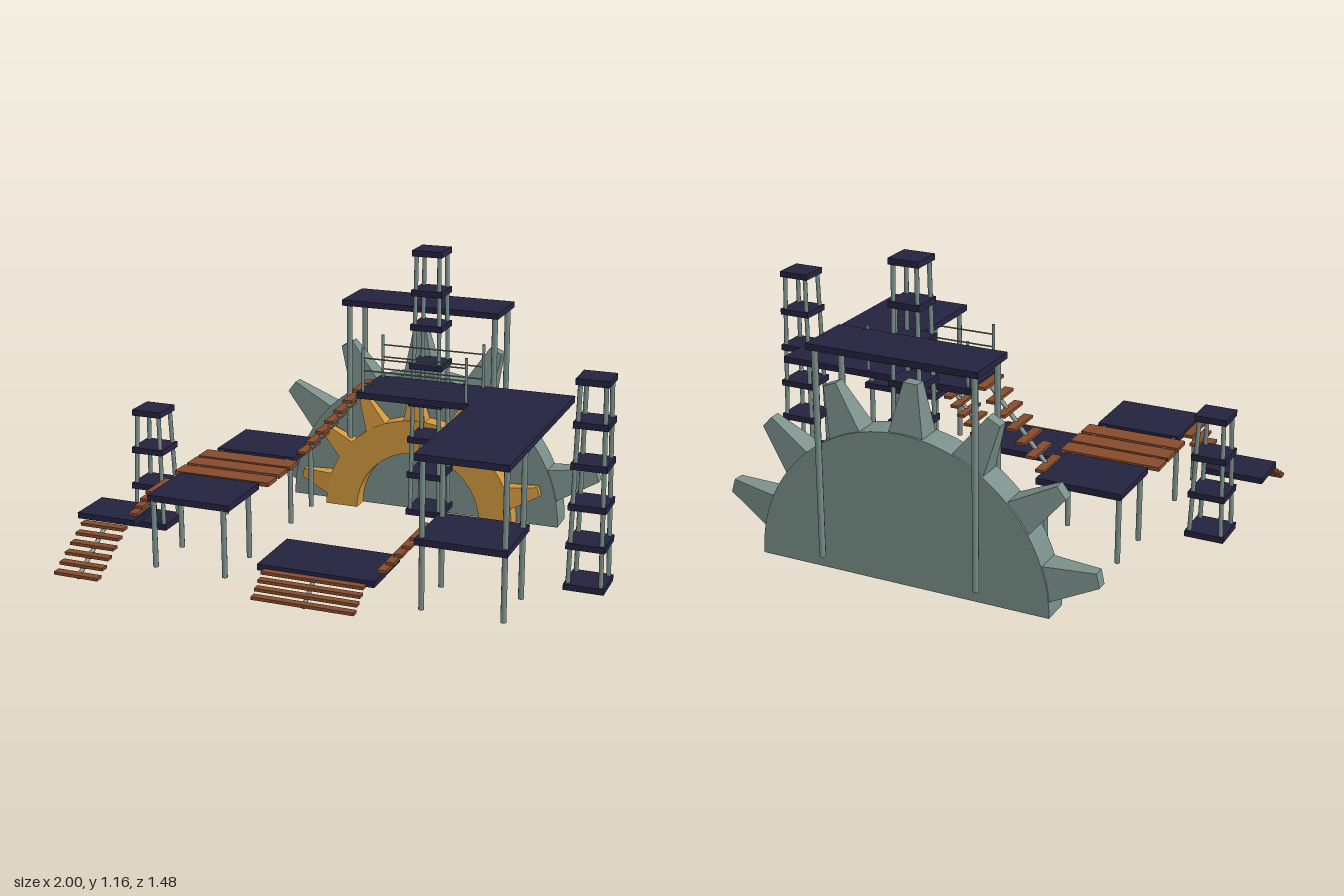
import * as THREE from 'three';

const mat = (name, color) => {
  const m = new THREE.MeshStandardMaterial({ color });
  m.name = name;
  return m;
};

export function createModel() {
  const navy = mat('navy deck', 0x24233f);
  const steel = mat('grey green metal', 0x7a8f8a);
  const amber = mat('amber metal', 0xd2983f);
  const wood = mat('brown wood', 0x864b2b);

  const model = new THREE.Group();
  model.name = 'gearPlayground';

  const group = (name, parent = model) => {
    const g = new THREE.Group();
    g.name = name;
    parent.add(g);
    return g;
  };
  const add = (parent, name, geometry, material) => {
    const m = new THREE.Mesh(geometry, material);
    m.name = name;
    parent.add(m);
    return m;
  };
  // Box given by its limits on each axis
  const block = (parent, name, x0, x1, y0, y1, z0, z1, material) => {
    const m = add(parent, name, new THREE.BoxGeometry(x1 - x0, y1 - y0, z1 - z0), material);
    m.position.set((x0 + x1) / 2, (y0 + y1) / 2, (z0 + z1) / 2);
    return m;
  };
  // Round bar between two points
  const bar = (parent, name, a, b, r, sides = 8) => {
    const p = new THREE.Vector3(...a), q = new THREE.Vector3(...b);
    const d = q.clone().sub(p);
    const m = add(parent, name, new THREE.CylinderGeometry(r, r, d.length(), sides), steel);
    m.position.copy(p).add(q).multiplyScalar(0.5);
    m.quaternion.setFromUnitVectors(new THREE.Vector3(0, 1, 0), d.normalize());
  };
  // Posts at every combination of the given x and z
  const legs = (parent, xs, zs, y0, y1, r = 0.011) => {
    for (const x of xs) for (const z of zs) bar(parent, 'leg', [x, y0, z], [x, y1, z], r);
  };
  // Flat treads stepping from a to b over one central stringer
  const stairs = (name, a, b, n, w, d) => {
    const g = group(name);
    const p = new THREE.Vector3(...a), q = new THREE.Vector3(...b);
    for (let i = 0; i < n; i++) {
      add(g, 'tread', new THREE.BoxGeometry(w, 0.012, d), wood).position.lerpVectors(p, q, i / (n - 1));
    }
    bar(g, 'stringer', [a[0], a[1] - 0.012, a[2]], [b[0], b[1] - 0.012, b[2]], 0.009);
  };

  // Decks
  const decks = group('decks');
  block(decks, 'leftBackDeck', -0.67, -0.335, 0.325, 0.35, -0.325, -0.055, navy);
  block(decks, 'leftFrontDeck', -0.67, -0.335, 0.325, 0.35, 0.27, 0.54, navy);
  block(decks, 'entryDeck', -1, -0.755, 0.197, 0.22, 0.315, 0.5, navy);
  block(decks, 'lowFrontDeck', -0.21, 0.25, 0.125, 0.15, 0.295, 0.565, navy);
  block(decks, 'rightLowerDeck', 0.4, 0.74, 0.312, 0.337, 0.285, 0.565, navy);
  legs(decks, [-0.65, -0.36], [-0.29, -0.08, 0.315, 0.53], 0.06, 0.33);
  legs(decks, [0.42, 0.725], [0.32, 0.54], 0.06, 0.635);

  // L-shaped upper deck, outlined in plan
  const ell = new THREE.Shape([
    [-0.065, 0.32], [-0.065, 0.06], [0.395, 0.06], [0.395, -0.565], [0.74, -0.565], [0.74, 0.32],
  ].map(([x, y]) => new THREE.Vector2(x, y)));
  const upper = add(decks, 'upperDeck', new THREE.ExtrudeGeometry(ell, { depth: 0.025, bevelEnabled: false }), navy);
  upper.rotation.x = -Math.PI / 2;
  upper.position.y = 0.625;

  // Railings along both sides of the upper walkway
  const railings = group('railings');
  for (const z of [-0.297, -0.08]) {
    legs(railings, [-0.045, 0.375], [z], 0.64, 0.825, 0.006);
    for (const y of [0.685, 0.735, 0.785]) bar(railings, 'rail', [-0.045, y, z], [0.375, y, z], 0.003, 6);
  }

  // Plank bridge between the two left decks
  const bridge = group('plankBridge');
  for (const z of [0.008, 0.107, 0.21]) {
    block(bridge, 'plank', -0.705, -0.305, 0.331, 0.347, z - 0.042, z + 0.042, wood);
  }
  for (const x of [-0.65, -0.36]) bar(bridge, 'bridgeRail', [x, 0.335, -0.06], [x, 0.335, 0.28], 0.009);

  // Stairs
  stairs('upperStairs', [-0.326, 0.352, -0.19], [-0.084, 0.638, -0.19], 7, 0.037, 0.16);
  stairs('leftStairs', [-0.768, 0.238, 0.405], [-0.69, 0.335, 0.405], 4, 0.034, 0.16);
  stairs('rightStairs', [0.255, 0.165, 0.425], [0.378, 0.308, 0.425], 5, 0.034, 0.16);
  stairs('entryStairs', [-0.877, 0.188, 0.515], [-0.877, 0.066, 0.722], 6, 0.185, 0.034);
  stairs('frontSteps', [0.02, 0.132, 0.585], [0.02, 0.069, 0.675], 4, 0.4, 0.03);

  // Towers: stacked square plates on four leaning legs
  const tower = (name, x, z, levels) => {
    const g = group(name);
    g.position.set(x, 0, z);
    const top = levels[levels.length - 1], bottom = levels[0];
    for (const y of levels) {
      const w = THREE.MathUtils.mapLinear(y, bottom, top, 0.153, 0.124);
      block(g, 'towerPlate', -w / 2, w / 2, y - 0.012, y + 0.012, -w / 2, w / 2, navy);
    }
    for (const sx of [-1, 1]) for (const sz of [-1, 1]) {
      bar(g, 'towerLeg', [sx * 0.062, bottom, sz * 0.062], [sx * 0.047, top, sz * 0.047], 0.009);
    }
  };
  const levels = [0.07, 0.23, 0.38, 0.535, 0.69, 0.85, 0.99, 1.15];
  tower('rightTower', 0.92, 0.105, levels.slice(0, 6));
  tower('backTower', 0.115, -0.42, levels);
  tower('leftTower', -0.87, 0.105, levels.slice(0, 4));

  // Canopy over the gears
  const canopy = group('canopy');
  block(canopy, 'canopyRoof', -0.31, 0.365, 0.873, 0.897, -0.745, -0.515, navy);
  legs(canopy, [-0.285, 0.345], [-0.54, -0.717], 0.06, 0.88, 0.0125);

  // Half gear: half disc or half ring with teeth tapering both ways
  const halfGear = (name, s, inner, depth, z, material) => {
    const g = group(name);
    g.position.set(0.035, 0, z);
    const r = 0.59 * s;
    const shape = new THREE.Shape();
    shape.moveTo(r, 0).absarc(0, 0, r, 0, Math.PI, false);
    if (inner) {
      shape.lineTo(-inner, 0);
      shape.absarc(0, 0, inner, Math.PI, 0, true);
    }
    shape.closePath();
    const body = new THREE.ExtrudeGeometry(shape, { depth, bevelEnabled: false, curveSegments: 32 });
    add(g, 'gearBody', body, material).position.z = -depth / 2;

    const r0 = 0.54 * s, r1 = 0.775 * s;
    const tooth = new THREE.BoxGeometry(0.155 * s, r1 - r0, depth * 0.99).toNonIndexed();
    const p = tooth.attributes.position;
    for (let i = 0; i < p.count; i++) {
      if (p.getY(i) > 0) p.setXYZ(i, p.getX(i) * 0.36, p.getY(i), p.getZ(i) * 0.4);
    }
    tooth.computeVertexNormals();
    for (let i = 0; i < 7; i++) {
      const a = THREE.MathUtils.degToRad(17.5 + 25 * i), rm = (r0 + r1) / 2;
      const m = add(g, 'gearTooth', tooth, material);
      m.position.set(Math.cos(a) * rm, Math.sin(a) * rm, 0);
      m.rotation.z = a - Math.PI / 2;
    }
  };
  halfGear('largeGear', 1, 0, 0.115, -0.6275, steel);
  halfGear('smallGear', 0.7, 0.272, 0.072, -0.534, amber);

  return model;
}
